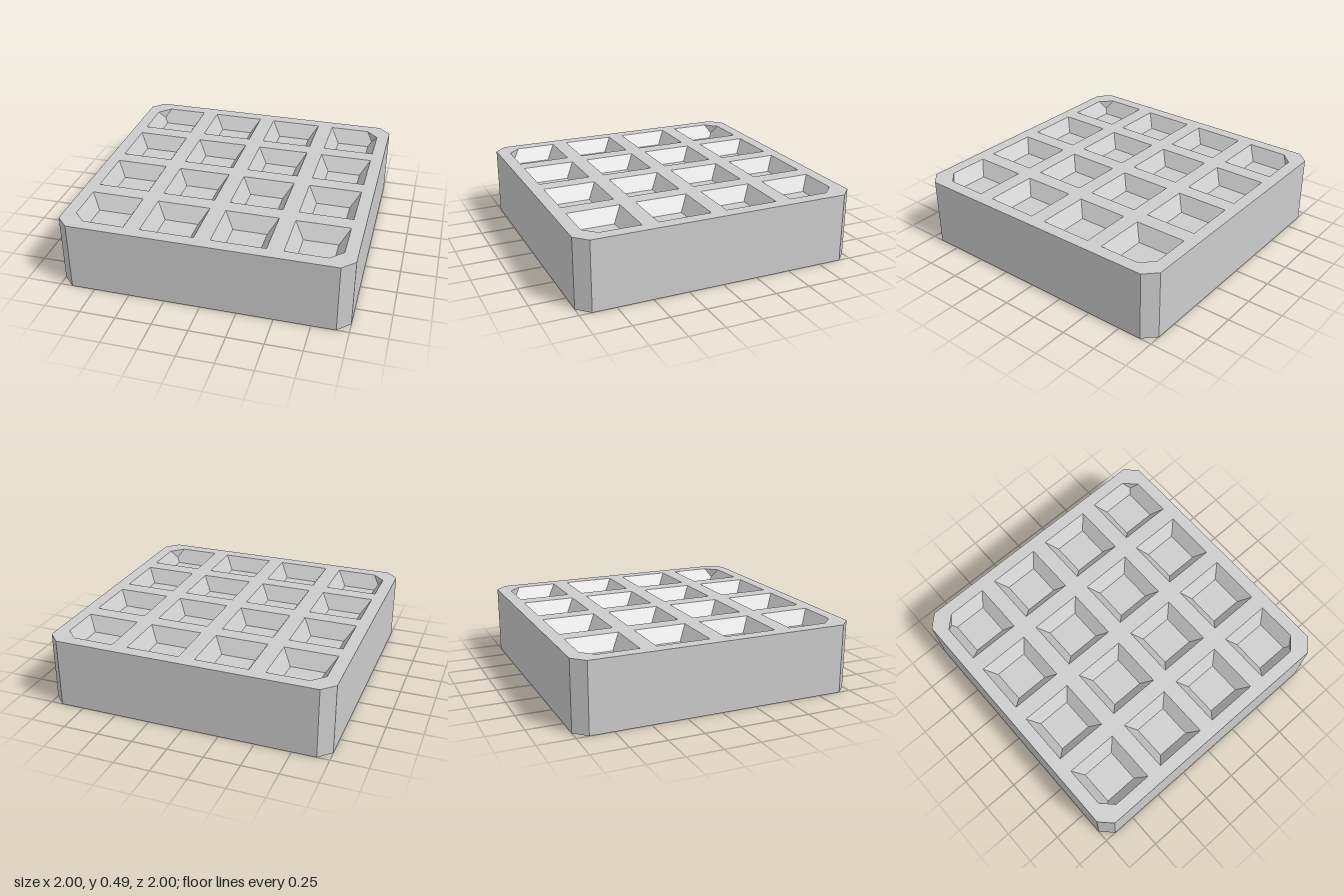
import * as THREE from 'three';

const HEIGHT = 0.488;   // block height
const CUT = 0.085;      // corner chamfer, shared by the block and the outer pockets
const PITCH = 0.484;    // pocket spacing
const RIM = 0.186;      // half width of a pocket at its rim
const FLOOR = 0.119;    // half width of a pocket floor
const DEPTH = 0.1;      // pocket depth
const CORNERS = [[1, 1], [-1, 1], [-1, -1], [1, -1]];

const material = new THREE.MeshStandardMaterial({ color: 0xcccccc, flatShading: true });

// Flat-faced geometry from convex polygons with counter-clockwise corners.
function fromPolygons(polygons) {
  const positions = [];
  for (const p of polygons) {
    for (let i = 1; i < p.length - 1; i++) {
      positions.push(...p[0], ...p[i], ...p[i + 1]);
    }
  }
  const geometry = new THREE.BufferGeometry();
  geometry.setAttribute('position', new THREE.Float32BufferAttribute(positions, 3));
  geometry.computeVertexNormals();
  return geometry;
}

// The two ends of the chamfer at one corner of a square (equal when cut is 0).
function cornerPoints(cx, cz, half, k, cut) {
  const [sx, sz] = CORNERS[k];
  const onX = [cx + sx * half, cz + sz * (half - cut)];
  const onZ = [cx + sx * (half - cut), cz + sz * half];
  return k % 2 === 0 ? [onX, onZ] : [onZ, onX];
}

function outline(cx, cz, half, cutAt) {
  return CORNERS.flatMap((_, k) => {
    const ends = cornerPoints(cx, cz, half, k, cutAt(k));
    return cutAt(k) ? ends : [ends[0]];
  });
}

// Only the corner of a corner pocket nearest the block's corner is chamfered.
function pocketCut(col, row) {
  return (k) => {
    const [sx, sz] = CORNERS[k];
    return col * sx === 1.5 && row * sz === 1.5 ? CUT : 0;
  };
}

// Tapered pocket sunk below y = 0.
function pocketGeometry(col, row) {
  const cx = col * PITCH, cz = row * PITCH, cutAt = pocketCut(col, row);
  const corners = CORNERS.map(([sx, sz], k) => {
    const cut = cutAt(k);
    const [a, b] = cornerPoints(cx, cz, RIM, k, cut).map(([x, z]) => [x, 0, z]);
    const inset = cut / 2;
    return {
      cut, a, b,
      mid: [cx + sx * (RIM - inset), -DEPTH * inset / (RIM - FLOOR), cz + sz * (RIM - inset)],
      floor: [cx + sx * FLOOR, -DEPTH, cz + sz * FLOOR],
    };
  });
  const polygons = [corners.map((c) => c.floor).reverse()];
  corners.forEach((c, k) => {
    const n = corners[(k + 1) % 4];
    const wall = [n.floor];
    if (n.cut) wall.push(n.mid);
    wall.push(n.a, c.b);
    if (c.cut) wall.push(c.mid);
    wall.push(c.floor);
    polygons.push(wall);
    if (c.cut) polygons.push([c.mid, c.b, c.a]); // small upright chamfer
  });
  return fromPolygons(polygons);
}

function addMesh(parent, name, geometry) {
  const mesh = new THREE.Mesh(geometry, material);
  mesh.name = name;
  parent.add(mesh);
}

// One face of the block: perforated plate and its sixteen pockets.
function createFace(name) {
  const face = new THREE.Group();
  face.name = name;
  const toShape = (points) => points.map(([x, z]) => new THREE.Vector2(x, -z));
  const plate = new THREE.Shape(toShape(outline(0, 0, 1, () => CUT)));
  const steps = [-1.5, -0.5, 0.5, 1.5];
  for (const row of steps) {
    for (const col of steps) {
      const rim = outline(col * PITCH, row * PITCH, RIM, pocketCut(col, row));
      plate.holes.push(new THREE.Path(toShape(rim)));
      addMesh(face, 'pocket', pocketGeometry(col, row));
    }
  }
  addMesh(face, 'gridPlate', new THREE.ShapeGeometry(plate).rotateX(-Math.PI / 2));
  return face;
}

export function createModel() {
  const model = new THREE.Group();
  model.name = 'pocketedBlock';

  // Chamfered side walls
  const ring = outline(0, 0, 1, () => CUT);
  const walls = ring.map(([x, z], i) => {
    const [nx, nz] = ring[(i + 1) % ring.length];
    return [[x, HEIGHT, z], [nx, HEIGHT, nz], [nx, 0, nz], [x, 0, z]];
  });
  addMesh(model, 'sideWalls', fromPolygons(walls));

  // Matching pocketed faces above and below
  const top = createFace('topFace');
  top.position.y = HEIGHT;
  const bottom = createFace('bottomFace');
  bottom.rotation.x = Math.PI;
  model.add(top, bottom);
  return model;
}
